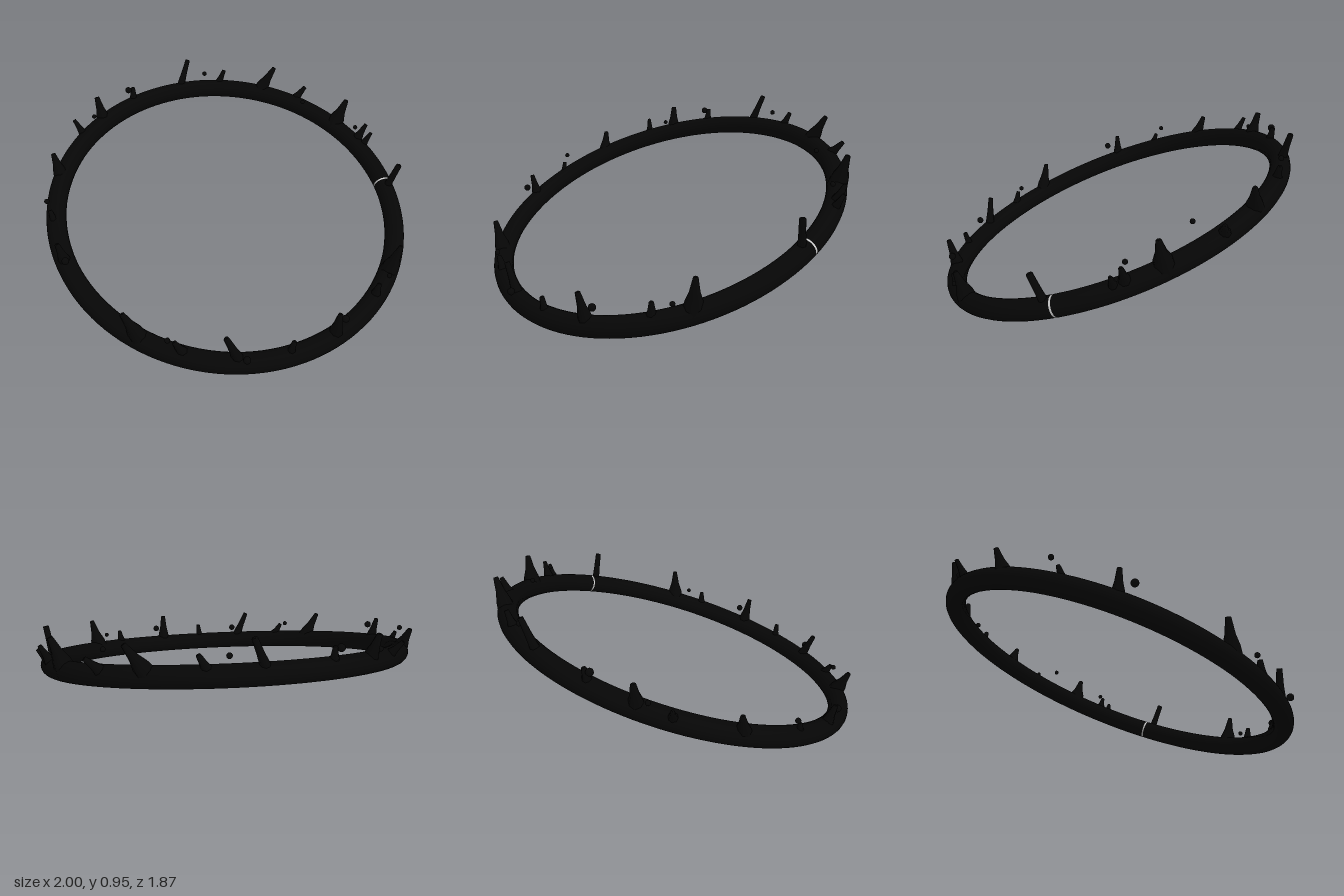
import * as THREE from 'three';

const R = 0.947, TUBE = 0.053, TILT = 0.382, MID_Y = 0.41;

// point on the ring's centre line at angle a (0 = +x, 90 degrees = front)
function ringPoint(a) {
  return new THREE.Vector3(
    R * Math.cos(a),
    MID_Y - R * Math.sin(a) * Math.sin(TILT),
    R * Math.sin(a) * Math.cos(TILT)
  );
}

// part of the tilted ring, from one angle to another
function ringArc(from, to, segments, material, name) {
  const geo = new THREE.TorusGeometry(R, TUBE, 20, segments, to - from);
  geo.rotateZ(from).rotateX(Math.PI / 2).rotateX(TILT).translate(0, MID_Y, 0);
  // the tube faces outward already: rotations keep the winding
  const mesh = new THREE.Mesh(geo, material);
  mesh.name = name;
  return mesh;
}

// flared, blunt-tipped splash spike leaning along the ring
function spike([x, y, z, lean, rBase, rTip], material) {
  const base = ringPoint(Math.atan2(z / Math.cos(TILT), x) - lean / R);
  const tip = new THREE.Vector3(x, y, z);
  const dir = tip.clone().sub(base);
  const h = dir.length();
  const profile = [
    [rBase * 1.25, 0], [rBase, h * 0.35],
    [THREE.MathUtils.lerp(rBase, rTip, 0.55), h * 0.6], [rTip, h], [0, h],
  ].map(([r, v]) => new THREE.Vector2(r, v));
  const mesh = new THREE.Mesh(new THREE.LatheGeometry(profile, 8), material);
  mesh.position.copy(base);
  mesh.quaternion.setFromUnitVectors(new THREE.Vector3(0, 1, 0), dir.normalize());
  mesh.name = 'spike';
  return mesh;
}

export function createModel() {
  const group = new THREE.Group();
  group.name = 'splashRing';
  const dark = new THREE.MeshStandardMaterial({ color: 0x060606 });
  const pale = new THREE.MeshStandardMaterial({ color: 0xffffff });

  // ring with its narrow pale seam
  const s = 0.005;
  group.add(ringArc(s, Math.PI * 2 - s, 128, dark, 'ring'));
  group.add(ringArc(-s, s, 1, pale, 'seam'));

  // spikes: tip x, y, z, lean along the ring, base radius, tip radius
  const spikes = [
    // back
    [-0.03, 0.95, -0.91, 0.07, 0.022, 0.014],
    [0.20, 0.87, -0.88, 0.05, 0.026, 0.012],
    [0.51, 0.89, -0.79, 0.09, 0.04, 0.013],
    [0.69, 0.78, -0.69, 0.06, 0.03, 0.012],
    [-0.40, 0.84, -0.81, 0.01, 0.026, 0.012],
    [-0.63, 0.84, -0.71, 0.0, 0.034, 0.014],
    [-0.78, 0.75, -0.62, 0.0, 0.024, 0.01],
    // left and right sides
    [0.87, 0.77, -0.44, 0.05, 0.045, 0.014],
    [0.95, 0.66, -0.30, 0.03, 0.03, 0.011],
    [0.97, 0.62, -0.26, 0.02, 0.024, 0.01],
    [0.98, 0.58, 0.10, 0.06, 0.02, 0.016],
    [-0.92, 0.68, -0.35, 0.03, 0.036, 0.012],
    [-0.97, 0.51, -0.03, 0.03, 0.024, 0.01],
    [-0.95, 0.47, 0.24, -0.01, 0.03, 0.012],
    // front
    [-0.69, 0.32, 0.67, 0.06, 0.04, 0.013],
    [-0.47, 0.20, 0.79, 0.05, 0.03, 0.012],
    [-0.24, 0.25, 0.88, 0.07, 0.026, 0.014],
    [0.09, 0.17, 0.90, -0.01, 0.022, 0.012],
    [0.33, 0.26, 0.87, 0.02, 0.032, 0.013],
    [0.62, 0.25, 0.69, 0.0, 0.028, 0.011],
    [0.78, 0.38, 0.58, 0.0, 0.042, 0.012],
  ];
  spikes.forEach((p) => group.add(spike(p, dark)));

  // loose droplets: x, y, z, radius
  const droplets = [
    [0.07, 0.86, -0.88, 0.014], [-0.43, 0.83, -0.80, 0.019],
    [-0.66, 0.74, -0.66, 0.013], [0.62, 0.745, -0.54, 0.013],
    [0.88, 0.65, -0.30, 0.013], [-0.98, 0.55, -0.06, 0.014],
    [-0.92, 0.405, 0.30, 0.019], [-0.50, 0.21, 0.78, 0.014],
    [-0.15, 0.13, 0.92, 0.019], [0.38, 0.19, 0.83, 0.019],
    [0.70, 0.25, 0.64, 0.013],
  ];
  for (const [x, y, z, r] of droplets) {
    const drop = new THREE.Mesh(new THREE.SphereGeometry(r, 14, 10), dark);
    drop.position.set(x, y, z);
    drop.name = 'droplet';
    group.add(drop);
  }
  return group;
}
